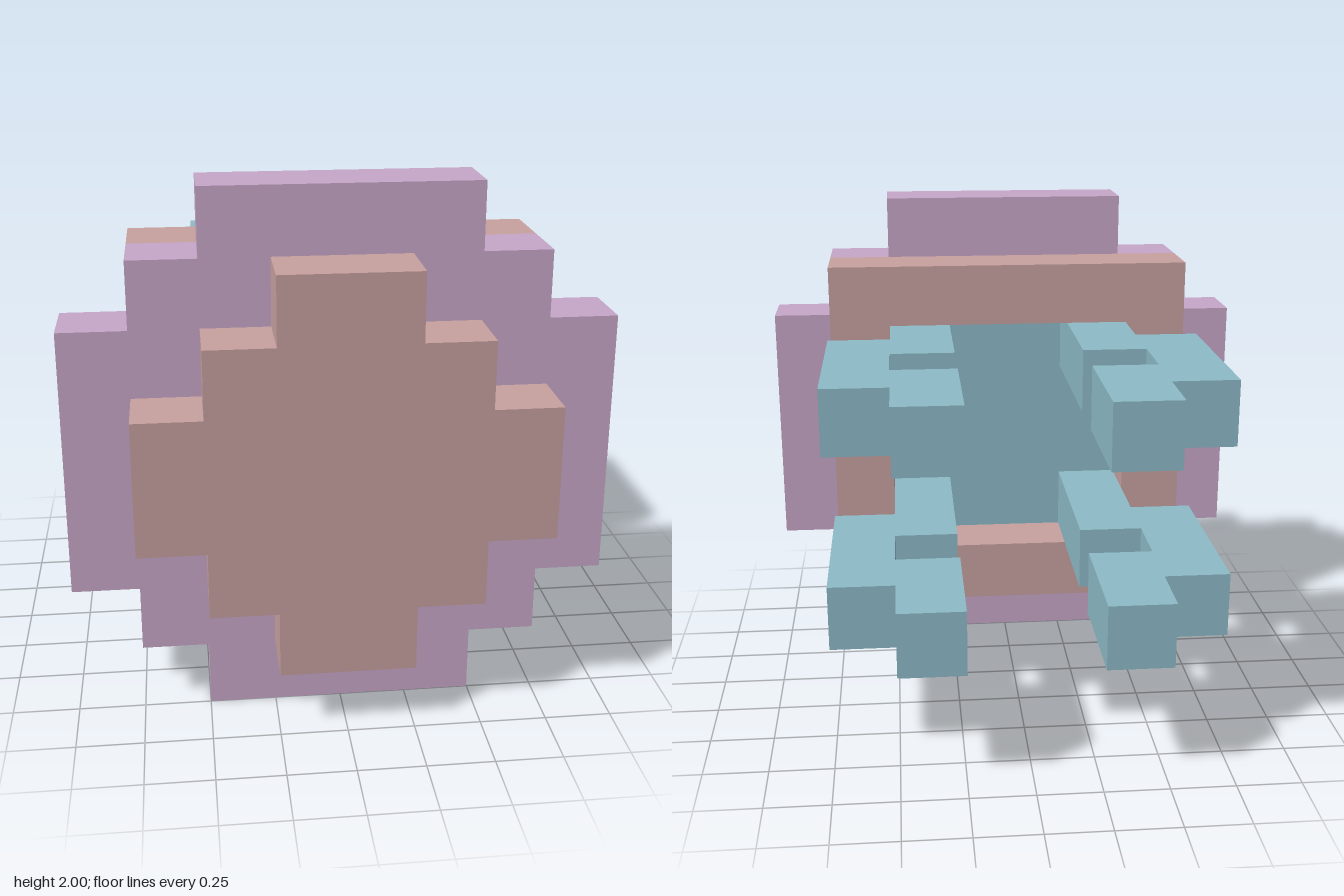
import * as THREE from 'three';

const STEP = 0.25;

function material(name, color) {
  const m = new THREE.MeshStandardMaterial({ color });
  m.name = name;
  return m;
}

function shapeFrom(points) {
  return new THREE.Shape(points.map(([x, y]) => new THREE.Vector2(x, y)));
}

// Stepped round outline, mirrored into four quadrants around y = 1
function steppedShape(quadrant) {
  const flipped = [...quadrant].reverse();
  return shapeFrom([
    ...quadrant.map(([x, y]) => [x, 1 + y]),
    ...flipped.map(([x, y]) => [-x, 1 + y]),
    ...quadrant.map(([x, y]) => [-x, 1 - y]),
    ...flipped.map(([x, y]) => [x, 1 - y]),
  ]);
}

function squarePath(half) {
  const p = [[-half, 1 - half], [-half, 1 + half], [half, 1 + half], [half, 1 - half]];
  return new THREE.Path(p.map(([x, y]) => new THREE.Vector2(x, y)));
}

function extrude(shape) {
  return new THREE.ExtrudeGeometry(shape, { depth: STEP, bevelEnabled: false });
}

export function createModel() {
  const group = new THREE.Group();
  group.name = 'clawedDisc';
  const lilac = material('lilac', 0xc8a8ca);
  const rose = material('dustyRose', 0xc9a2a1);
  const teal = material('teal', 0x8ebcc9);

  function add(name, geometry, mat, z = 0) {
    const mesh = new THREE.Mesh(geometry, mat);
    mesh.name = name;
    mesh.position.z = z;
    group.add(mesh);
    return mesh;
  }

  // Large stepped disc, open in the middle for the core
  const disc = steppedShape([[1, 0.5], [0.75, 0.5], [0.75, 0.75], [0.5, 0.75], [0.5, 1]]);
  disc.holes.push(squarePath(0.5));
  add('disc', extrude(disc), lilac, 0.5);

  // Smaller stepped plate on the front
  const front = steppedShape([[0.75, 0.25], [0.5, 0.25], [0.5, 0.5], [0.25, 0.5], [0.25, 0.75]]);
  add('frontPlate', extrude(front), rose, 0.75);

  // Square frame on the back
  const frame = shapeFrom([[-0.75, 0.25], [0.75, 0.25], [0.75, 1.75], [-0.75, 1.75]]);
  frame.holes.push(squarePath(0.5));
  add('backFrame', extrude(frame), rose, 0.25);

  // Core panel at the bottom of the frame opening
  add('core', new THREE.BoxGeometry(1, 1, STEP), teal, 0.625).position.y = 1;

  // Four hooked claws reaching backwards; outline is in x and z
  const hook = [
    [0.25, 0.5], [0.5, 0.5], [0.5, 0], [0.75, 0], [0.75, -0.75], [0.5, -0.75],
    [0.5, -1], [0.25, -1], [0.25, -0.5], [0.5, -0.5], [0.5, -0.25], [0.25, -0.25],
  ];
  for (const [side, s] of [['left', 1], ['right', -1]]) {
    const geometry = extrude(shapeFrom(hook.map(([x, z]) => [s * x, z])));
    geometry.rotateX(Math.PI / 2);
    for (const [level, top] of [['Upper', 1.5], ['Lower', 0.75]]) {
      add(`${side}${level}Claw`, geometry, teal).position.y = top;
    }
  }

  return group;
}
